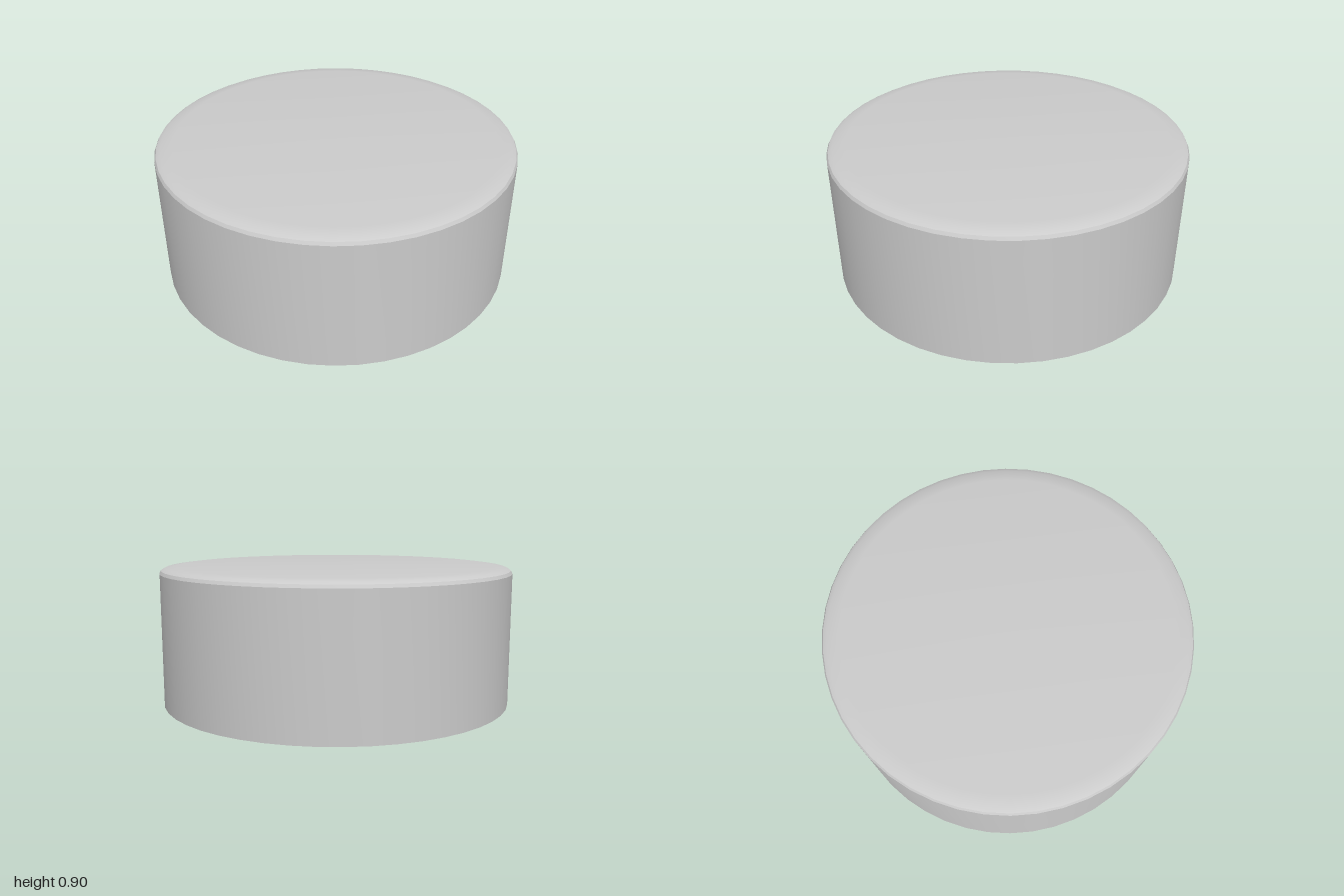
import * as THREE from 'three';
import { toCreasedNormals } from 'three/addons/utils/BufferGeometryUtils.js';

const grey = new THREE.MeshStandardMaterial({ color: 0xcccccc });
const flatGrey = new THREE.MeshStandardMaterial({ color: 0xcccccc, flatShading: true });

const BOTTOM = 0.12, CEILING = 0.3, TOP = 0.897;
const OUTER = 0.997, INNER = 0.957, SIDES = 13, START = 0.34;

// Revolve a profile of [radius, height] points around the vertical axis
function revolve(points, segments) {
  return new THREE.LatheGeometry(points.map(([r, y]) => new THREE.Vector2(r, y)), segments);
}

export function createModel() {
  const group = new THREE.Group();
  const add = (name, geometry, material) => {
    const mesh = new THREE.Mesh(geometry, material);
    mesh.name = name;
    group.add(mesh);
    return mesh;
  };

  // Round outer shell with a small chamfer around the nearly flat top
  const shell = revolve([
    [OUTER, BOTTOM], [OUTER, 0.86], [0.988, 0.877], [0.965, 0.889], [0.9, TOP], [0, TOP],
  ], 48);
  add('outerShell', toCreasedNormals(shell, 0.4), grey);

  // Faceted recess: ceiling sloping down near its edge, then the slightly flared wall
  const recess = revolve([[0, CEILING], [0.66, CEILING], [0.94, 0.27], [INNER, BOTTOM]], SIDES);
  add('recess', recess.rotateY(START), flatGrey);

  // Flat bottom rim between the round shell and the faceted recess
  const rim = new THREE.Shape().absarc(0, 0, OUTER, 0, Math.PI * 2);
  const corners = Array.from({ length: SIDES }, (_, i) => {
    const a = START + (i / SIDES) * Math.PI * 2;
    return new THREE.Vector2(INNER * Math.sin(a), INNER * Math.cos(a));
  });
  rim.holes.push(new THREE.Path(corners));
  const rimGeometry = new THREE.ShapeGeometry(rim, 48).rotateX(Math.PI / 2);
  rimGeometry.translate(0, BOTTOM, 0);
  add('bottomRim', rimGeometry, flatGrey);

  // Small oval centre pin with a chamfered tip
  const pin = revolve([[0, 0], [0.024, 0], [0.036, 0.025], [0.038, CEILING]], 8);
  add('centrePin', pin.scale(0.85, 1, 1), flatGrey).position.x = -0.005;

  return group;
}
